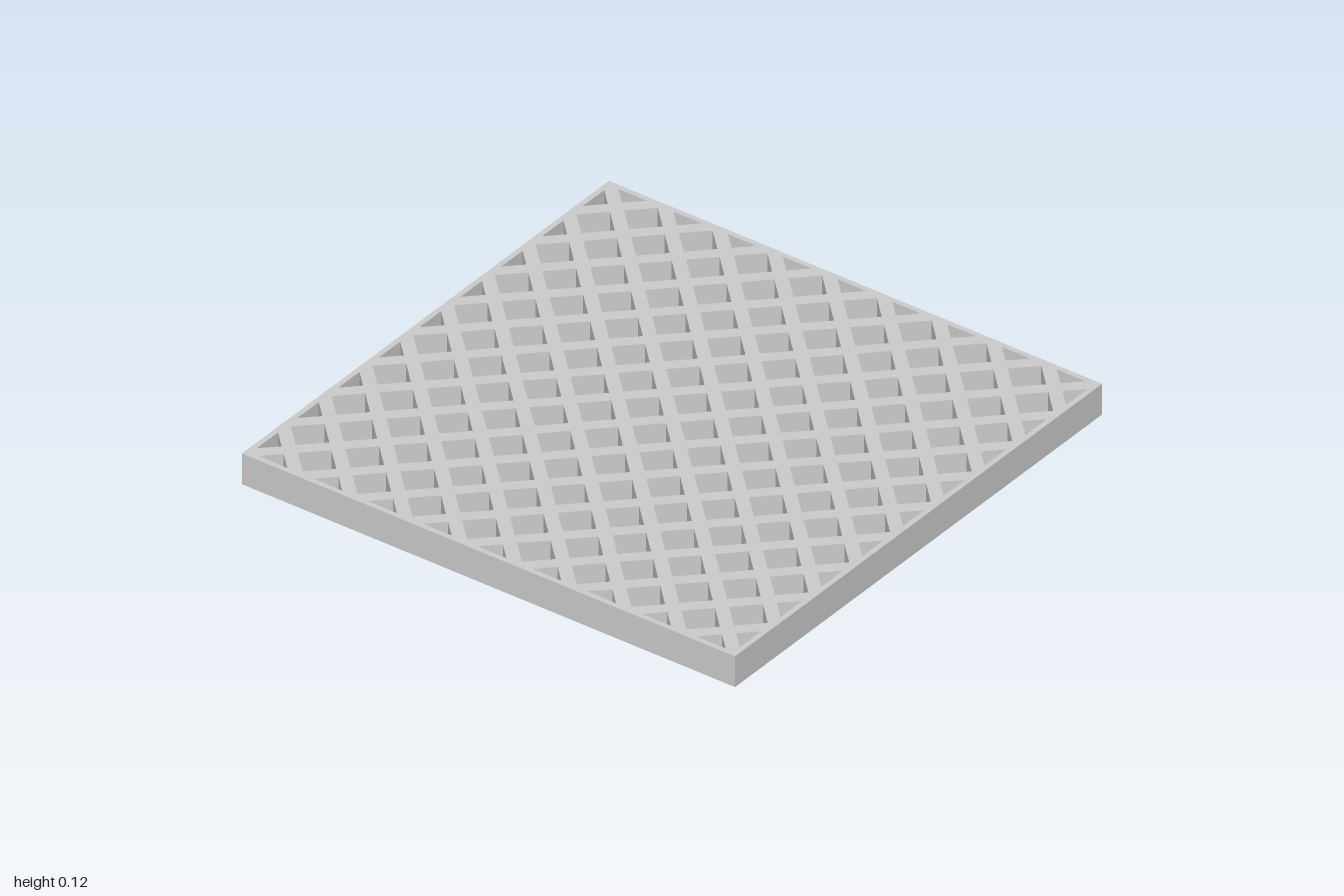
import * as THREE from 'three';

const HEIGHT = 0.12;
const RIM = 0.02;          // rim thickness
const PITCH = 2 / 9;       // bar spacing along each edge
const HALF = 0.033;        // half of a bar's width measured along the edge
const END = 1 - RIM / 2;   // bars end inside the rim

const material = new THREE.MeshStandardMaterial({ color: 0xcccccc, flatShading: true });

// Extrudes a plan outline upward from y = 0
function slab(shape, name) {
  const geometry = new THREE.ExtrudeGeometry(shape, { depth: HEIGHT, bevelEnabled: false });
  geometry.rotateX(-Math.PI / 2);
  const mesh = new THREE.Mesh(geometry, material);
  mesh.name = name;
  return mesh;
}

const outline = (points) => new THREE.Shape(points.map(([x, y]) => new THREE.Vector2(x, y)));

const square = (r) => [[-r, -r], [r, -r], [r, r], [-r, r]];

// Diagonal bar, shifted sideways by c, with its ends cut along the rim
function diagonalBar(c) {
  const a = HALF, e = END;
  if (c === 0) {
    return outline([[-e, -e], [a - e, -e], [e, e - a], [e, e], [e - a, e], [-e, a - e]]);
  }
  return outline([[c - a - e, -e], [c + a - e, -e], [e, e - c - a], [e, e - c + a]]);
}

export function createModel() {
  const model = new THREE.Group();
  model.name = 'latticePanel';

  // Thin square rim
  const frame = outline(square(1));
  frame.holes.push(new THREE.Path(outline(square(1 - RIM)).getPoints()));
  model.add(slab(frame, 'rim'));

  // Bars of both directions, repeated around the four corners
  const lattice = new THREE.Group();
  lattice.name = 'lattice';
  for (let turn = 0; turn < 4; turn++) {
    const quarter = new THREE.Group();
    quarter.name = 'cornerBars';
    quarter.rotation.y = turn * Math.PI / 2;
    // The two corner-to-corner bars need only two of the turns
    for (let k = turn < 2 ? 0 : 1; k <= 8; k++) {
      quarter.add(slab(diagonalBar(k * PITCH), 'diagonalBar'));
    }
    lattice.add(quarter);
  }
  model.add(lattice);
  return model;
}
